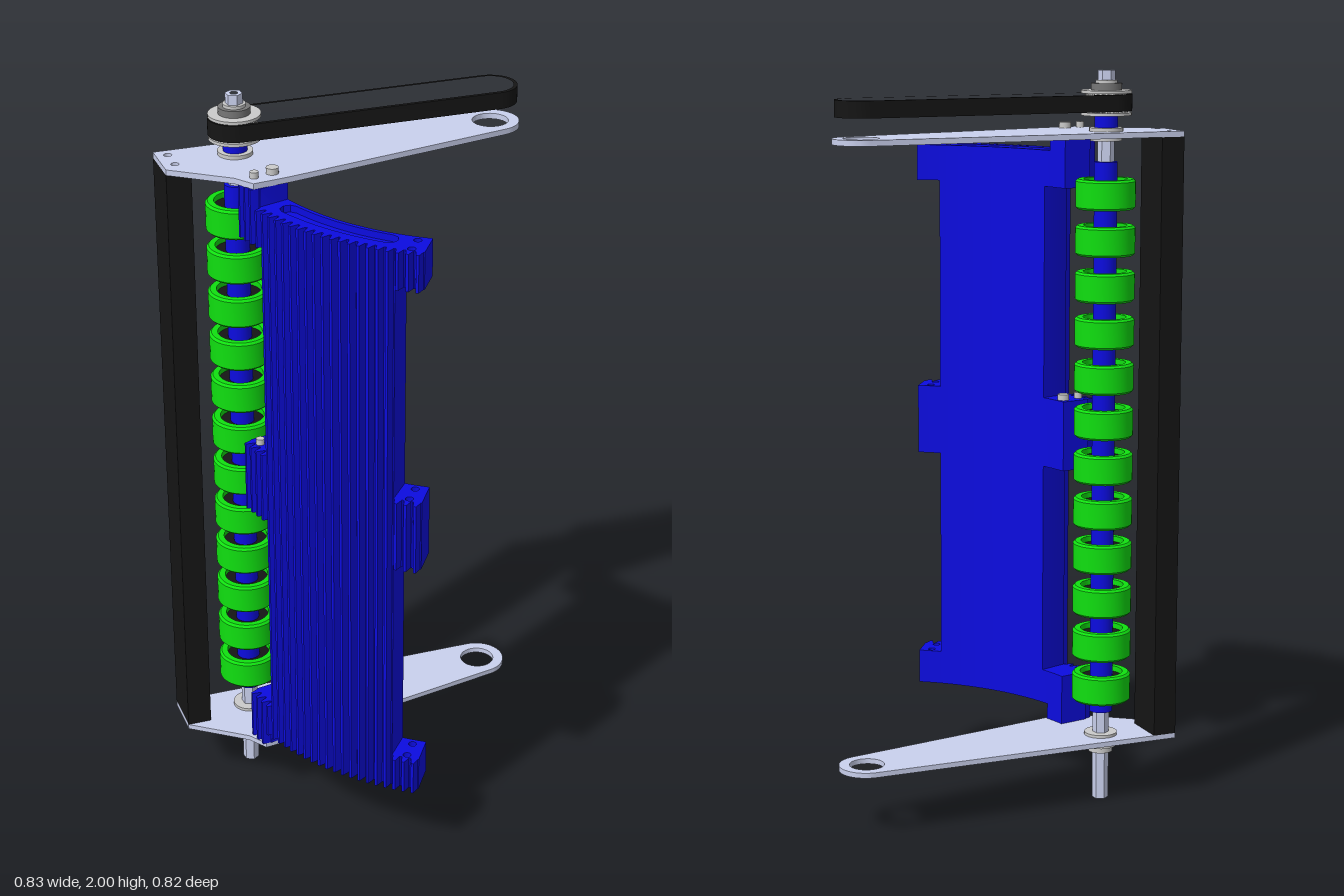
import * as THREE from 'three';
import { toCreasedNormals } from 'three/addons/utils/BufferGeometryUtils.js';

const mat = (color) => new THREE.MeshStandardMaterial({ color });
const GREY = mat(0xcccccc), PLATE = mat(0xcad1ee), BLUE = mat(0x0c0ce0),
  GREEN = mat(0x10e010), BLACK = mat(0x151515), DARK = mat(0x777777);
const ROLLER = [-0.228, -0.245], PIVOT = [0.341, 0.142];
const rad = THREE.MathUtils.degToRad;

// Points are [x, z] in plan
const shapeOf = (pts) => new THREE.Shape(pts.map(([x, z]) => new THREE.Vector2(x, -z)));
const arc = ([cx, cz], r, a0, a1, n = 24) => Array.from({ length: n + 1 }, (_, i) => {
  const a = rad(a0 + (a1 - a0) * i / n);
  return [cx + r * Math.cos(a), cz + r * Math.sin(a)];
});
const circle = (c, r, n = 24) => arc(c, r, 0, 360 - 360 / n, n - 1);
const polygon = (c, r, n) => circle(c, r, n);

export function createModel() {
  const model = new THREE.Group();

  const add = (name, geo, material, parent = model) => {
    const m = new THREE.Mesh(geo, material);
    m.name = name;
    parent.add(m);
    return m;
  };
  // Plan outline extruded upwards from y0 to y1
  const slab = (name, pts, holes, y0, y1, material, parent) => {
    const s = shapeOf(pts);
    holes.forEach((h) => s.holes.push(shapeOf(h)));
    let geo = new THREE.ExtrudeGeometry(s, { depth: y1 - y0, bevelEnabled: false });
    geo.rotateX(-Math.PI / 2).translate(0, y0, 0);
    return add(name, toCreasedNormals(geo, 0.45), material, parent);
  };
  const disc = (name, [x, z], r, y0, y1, material, sides = 32, parent) => {
    const g = new THREE.CylinderGeometry(r, r, y1 - y0, sides).translate(x, (y0 + y1) / 2, z);
    return add(name, g, material, parent);
  };

  // Side plates
  const bolts = [[-0.324, -0.108], [-0.275, -0.09]];
  const barHoles = [[-0.337, -0.374], [-0.373, -0.32]];
  const plate = [[-0.345, -0.416], [-0.415, -0.314], [-0.357, -0.144], [-0.357, -0.084],
    [-0.27, -0.041], ...arc(PIVOT, 0.075, 114, -55)];
  const plateHoles = [circle(PIVOT, 0.047, 32), ...barHoles.map((c) => circle(c, 0.0105, 16))];
  slab('upperPlate', plate, plateHoles, 1.825, 1.84, PLATE);
  slab('lowerPlate', plate, plateHoles, 0.168, 0.182, PLATE);

  // Rectangular cross bar along the back edge of the plates
  const n = [0.824 * 0.065, 0.566 * 0.065];
  const [A, B] = plate;
  slab('crossBar', [A, B, [B[0] + n[0], B[1] + n[1]], [A[0] + n[0], A[1] + n[1]]], [], 0.182, 1.825, BLACK);

  // Hollow hexagonal shaft and its spacer tube
  slab('shaft', polygon(ROLLER, 0.0225, 6), [circle(ROLLER, 0.01, 16)], 0, 2, PLATE);
  disc('spacerTube', ROLLER, 0.031, 0.25, 1.76, BLUE);
  disc('upperSpacer', ROLLER, 0.031, 1.85, 1.885, BLUE);
  for (const [y0, y1, r] of [[0.182, 0.19, 0.045], [0.15, 0.168, 0.042], [0.135, 0.15, 0.033],
    [1.815, 1.825, 0.042], [1.84, 1.85, 0.045]]) disc('bearing', ROLLER, r, y0, y1, GREY);

  // Twelve compliant rollers
  const tyre = [[0.058, -0.04], [0.074, -0.04], [0.08, -0.034], [0.08, 0.034], [0.074, 0.04],
    [0.058, 0.04], [0.058, -0.04]].map(([x, y]) => new THREE.Vector2(x, y));
  const tyreGeo = toCreasedNormals(new THREE.LatheGeometry(tyre, 40), 0.5);
  const hubGeo = new THREE.CylinderGeometry(0.058, 0.058, 0.05, 32);
  for (let i = 0; i < 12; i++) {
    const roller = new THREE.Group();
    roller.name = 'roller';
    roller.position.set(ROLLER[0], 0.323 + i * 0.1229, ROLLER[1]);
    add('tyre', tyreGeo, GREEN, roller);
    add('hub', hubGeo, BLACK, roller);
    model.add(roller);
  }

  // Toothed drive pulley with flanges and clamp collar
  const pulley = new THREE.Group();
  pulley.name = 'drivePulley';
  model.add(pulley);
  const gear = [];
  for (let i = 0; i < 24; i++) {
    for (const [o, r] of [[-5.5, 0.05], [-3.5, 0.057], [3.5, 0.057], [5.5, 0.05]])
      gear.push(...arc(ROLLER, r, i * 15 + o, i * 15 + o, 1).slice(0, 1));
  }
  slab('pulleyTeeth', gear, [], 1.89, 1.94, GREY, pulley);
  disc('lowerFlange', ROLLER, 0.067, 1.882, 1.89, GREY, 40, pulley);
  disc('upperFlange', ROLLER, 0.067, 1.94, 1.948, GREY, 40, pulley);
  disc('collar', ROLLER, 0.041, 1.948, 1.966, DARK, 32, pulley);
  disc('collarCap', ROLLER, 0.029, 1.966, 1.974, GREY, 32, pulley);

  // Drive belt loop
  const dir = THREE.MathUtils.radToDeg(Math.atan2(PIVOT[1] - ROLLER[1], PIVOT[0] - ROLLER[0]));
  const loop = (r) => [...arc(PIVOT, r, dir - 90, dir + 90), ...arc(ROLLER, r, dir + 90, dir + 270)];
  slab('driveBelt', loop(0.068), [loop(0.058)], 1.894, 1.938, BLACK);

  // Curved guard: ring sectors about the pivot, toothed on the outer side
  const PITCH = 1.95, START = -23.25;
  const polar = (r, a) => [PIVOT[0] - r * Math.cos(rad(a)), PIVOT[1] + r * Math.sin(rad(a))];
  const sector = (t0, t1) => {
    const pts = [];
    for (let t = t1; t >= t0; t--) pts.push(polar(0.637, START + t * PITCH));
    for (let t = t0; t < t1; t++) {
      const a = START + t * PITCH;
      for (const [f, r] of [[0, 0.72], [0.12, 0.721], [0.36, 0.743], [0.64, 0.743], [0.88, 0.721]])
        pts.push(polar(r, a + f * PITCH));
    }
    pts.push(polar(0.72, START + t1 * PITCH));
    return pts;
  };
  const guard = new THREE.Group();
  guard.name = 'curvedGuard';
  model.add(guard);
  // Rounded shallow groove in both ends of the body
  const slot = [];
  for (let a = -13; a <= 13; a += 2) slot.push(polar(0.648, a));
  slot.push(polar(0.655, 14.4), polar(0.671, 15), polar(0.688, 14.4));
  for (let a = 13; a >= -13; a -= 2) slot.push(polar(0.695, a));
  slot.push(polar(0.688, -14.4), polar(0.671, -15), polar(0.655, -14.4));
  slab('guardBody', sector(4, 20), [], 0.24, 1.76, BLUE, guard);
  slab('guardLowerRim', sector(4, 20), [slot], 0.225, 0.24, BLUE, guard);
  slab('guardUpperRim', sector(4, 20), [slot], 1.76, 1.778, BLUE, guard);

  // Mounting ears at three heights
  const farHoles = [[-0.33, 0.37], [-0.281, 0.353]].map((c) => circle(c, 0.0105, 16));
  for (const [y0, y1] of [[0.225, 0.32], [0.905, 1.098], [1.68, 1.778]]) {
    slab('rearEar', sector(0, 4), [], y0, y1, BLUE, guard);
    slab('frontEar', sector(20, 23), farHoles, y0, y1, BLUE, guard);
  }
  // Lugs joining the rear ears to the plates
  slab('lowerLug', sector(0, 3), [], 0.182, 0.225, BLUE, guard);
  slab('upperLug', sector(0, 3), [], 1.778, 1.825, BLUE, guard);

  // Bolts through plates and middle ear
  bolts.forEach((c, i) => {
    const r = i ? 0.016 : 0.011;
    for (const [y0, y1] of [[1.84, 1.856], [1.098, 1.114], [0.152, 0.168]])
      disc('bolt', c, r, y0, y1, GREY, 16);
  });

  return model;
}
